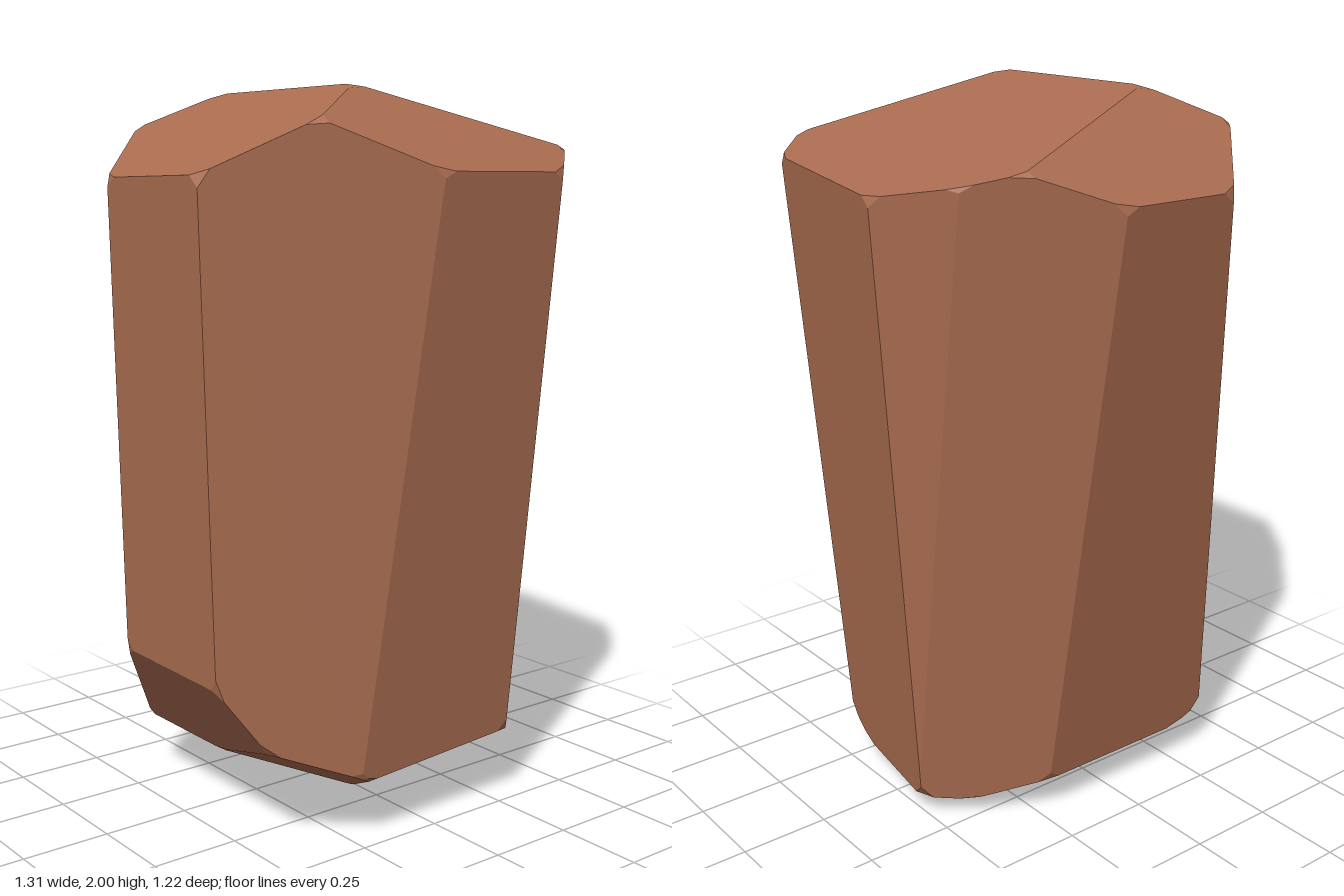
import * as THREE from 'three';

// Each facet is a cutting plane: nx*x + ny*y + nz*z <= d
const FACETS = [
  // roof: right, left, front, back
  [0.255, 1, 0, 1.952],
  [-0.5, 1, 0, 2.095],
  [0, 1, 0.9, 2.329],
  [0, 1, -0.63, 2.149],
  // tapering sides, walked around from the front
  [0, -0.076, 1, 0.475],
  [1, -0.108, 1, 0.748],
  [1, -0.0727, 0.17, 0.494],
  [1.41, -0.1207, -1, 0.907],
  [0.676, -0.125, -1, 0.515],
  [0, -0.142, -1, 0.359],
  [-0.74, -0.0127, -0.67, 0.5125],
  [-1, -0.035, 0.024, 0.596],
  [-0.482, -0.027, 1, 0.605],
  // chipped underside
  [0.0625, -1, 0.56, 0.082],
  [0.13, -1, 0, 0],
  [-0.44, -1, 0, 0],
  [-1.45, -1, 0, 0.4145],
  [0, -1, -0.45, 0.0575],
  [-0.497, -1, 0.206, 0.036],
];

const EPS = 1e-5;

function makePlane([x, y, z, d]) {
  const n = new THREE.Vector3(x, y, z);
  const len = n.length();
  return { n: n.divideScalar(len), d: d / len };
}

// All corners of the solid enclosed by the planes
function findCorners(planes) {
  const corners = [];
  for (let i = 0; i < planes.length; i++)
    for (let j = i + 1; j < planes.length; j++)
      for (let k = j + 1; k < planes.length; k++) {
        const [a, b, c] = [planes[i], planes[j], planes[k]];
        const bc = b.n.clone().cross(c.n);
        const det = a.n.dot(bc);
        if (Math.abs(det) < 1e-6) continue;
        const p = bc.multiplyScalar(a.d)
          .addScaledVector(c.n.clone().cross(a.n), b.d)
          .addScaledVector(a.n.clone().cross(b.n), c.d)
          .divideScalar(det);
        if (planes.some((q) => q.n.dot(p) > q.d + EPS)) continue;
        if (corners.some((q) => q.p.distanceTo(p) < 1e-4)) continue;
        corners.push({ p, normals: [a.n, b.n, c.n] });
      }
  return corners;
}

// A small cut across one corner
function chipCorner({ p, normals }, size) {
  const n = new THREE.Vector3();
  normals.forEach((m) => n.add(m));
  n.normalize();
  let steep = 1;
  for (let i = 0; i < 3; i++) {
    const edge = normals[i].clone().cross(normals[(i + 1) % 3]).normalize();
    steep = Math.min(steep, Math.abs(edge.dot(n)));
  }
  return { n, d: n.dot(p) - size * steep };
}

// One flat polygon per plane, fanned into triangles
function solidFromPlanes(planes) {
  const corners = findCorners(planes).map((c) => c.p);
  const positions = [];
  for (const { n, d } of planes) {
    const ring = corners.filter((p) => Math.abs(n.dot(p) - d) < 2 * EPS);
    if (ring.length < 3) continue;
    const mid = new THREE.Vector3();
    ring.forEach((p) => mid.addScaledVector(p, 1 / ring.length));
    const u = ring[0].clone().sub(mid).normalize();
    const v = n.clone().cross(u);
    const angle = (p) => {
      const r = p.clone().sub(mid);
      return Math.atan2(r.dot(v), r.dot(u));
    };
    ring.sort((a, b) => angle(a) - angle(b));
    for (let i = 1; i < ring.length - 1; i++)
      for (const p of [ring[0], ring[i], ring[i + 1]]) positions.push(p.x, p.y, p.z);
  }
  const geometry = new THREE.BufferGeometry();
  geometry.setAttribute('position', new THREE.Float32BufferAttribute(positions, 3));
  geometry.computeVertexNormals();
  return geometry;
}

export function createModel() {
  const stone = new THREE.MeshStandardMaterial({ color: 0xa96c50 });
  stone.name = 'reddish brown stone';

  const planes = FACETS.map(makePlane);
  const chips = findCorners(planes).map((c) => chipCorner(c, 0.035));

  const rock = new THREE.Mesh(solidFromPlanes([...planes, ...chips]), stone);
  rock.name = 'rock';

  const group = new THREE.Group();
  group.name = 'facetedRock';
  group.add(rock);
  return group;
}
